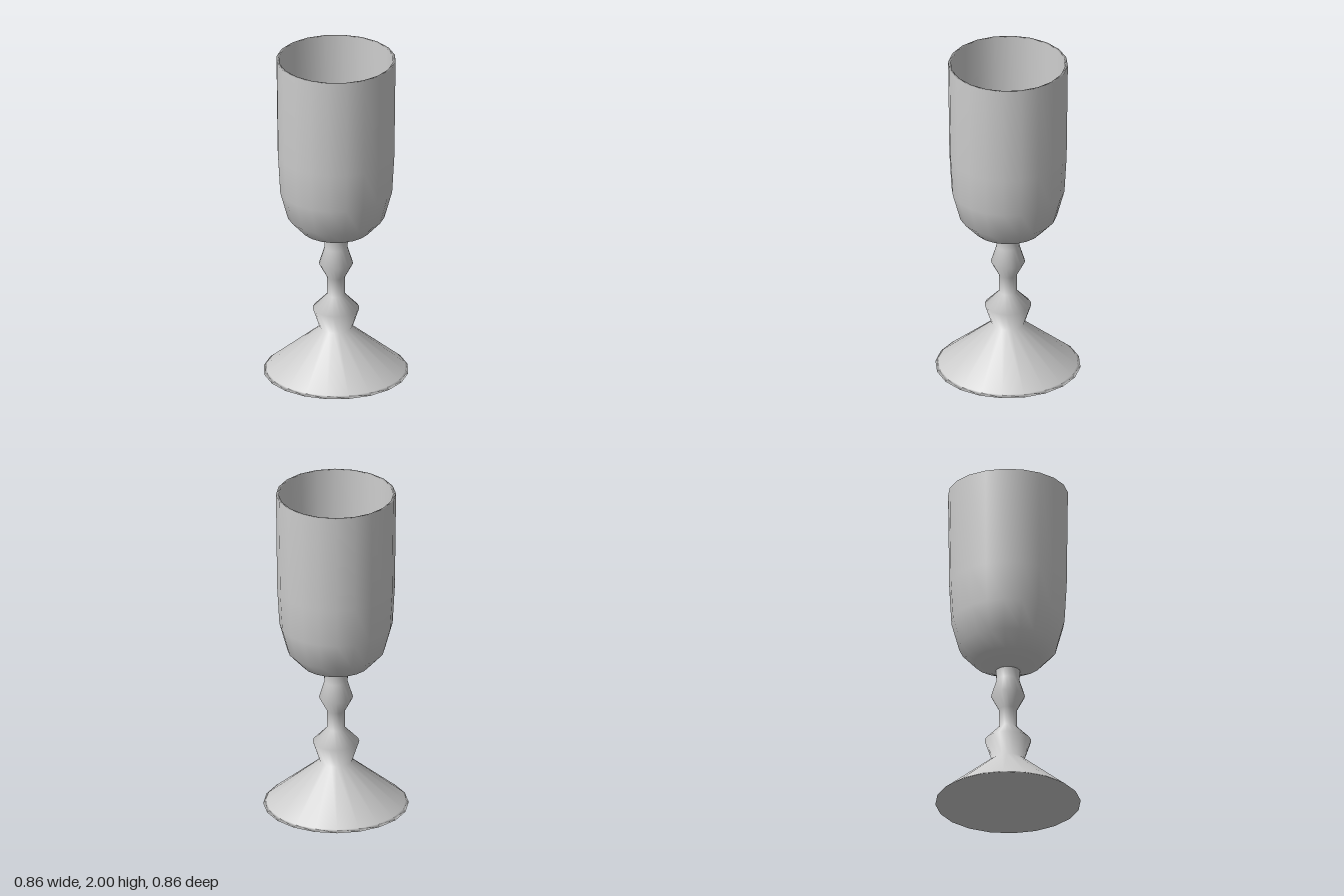
import * as THREE from 'three';

const SIDES = 20;

// Turns a list of [radius, height] points, running upward on the outside, into a smooth mesh
function turned(name, profile) {
  const points = profile.map(([r, y]) => new THREE.Vector2(r, y));
  // Starting at a quarter turn puts a corner on each axis
  const geometry = new THREE.LatheGeometry(points, SIDES, 0, Math.PI * 2);
  const material = new THREE.MeshStandardMaterial({ color: 0xcccccc });
  const mesh = new THREE.Mesh(geometry, material);
  mesh.name = name;
  return mesh;
}

export function createModel() {
  const goblet = new THREE.Group();
  goblet.name = 'goblet';

  // Conical foot with a flat underside, then the stem with its two knops
  goblet.add(turned('footAndStem', [
    [0, 0], [0.428, 0], [0.41, 0.014], // underside and thin edge
    [0.095, 0.275],                    // top of the foot
    [0.137, 0.4], [0.053, 0.487],      // lower knop
    [0.053, 0.6], [0.1, 0.688],        // upper knop
    [0.068, 0.79], [0.072, 0.85],      // neck
  ]));

  // Bowl: outer wall up to the lip, then the inner wall down to the centre
  goblet.add(turned('bowl', [
    [0.07, 0.848], [0.203, 0.907], [0.287, 0.997], [0.333, 1.165], [0.346, 1.4],
    [0.353, 2], [0.337, 2],            // lip
    [0.33, 1.4], [0.317, 1.175], [0.274, 1.01], [0.195, 0.925], [0.07, 0.872], [0, 0.868],
  ]));

  return goblet;
}
